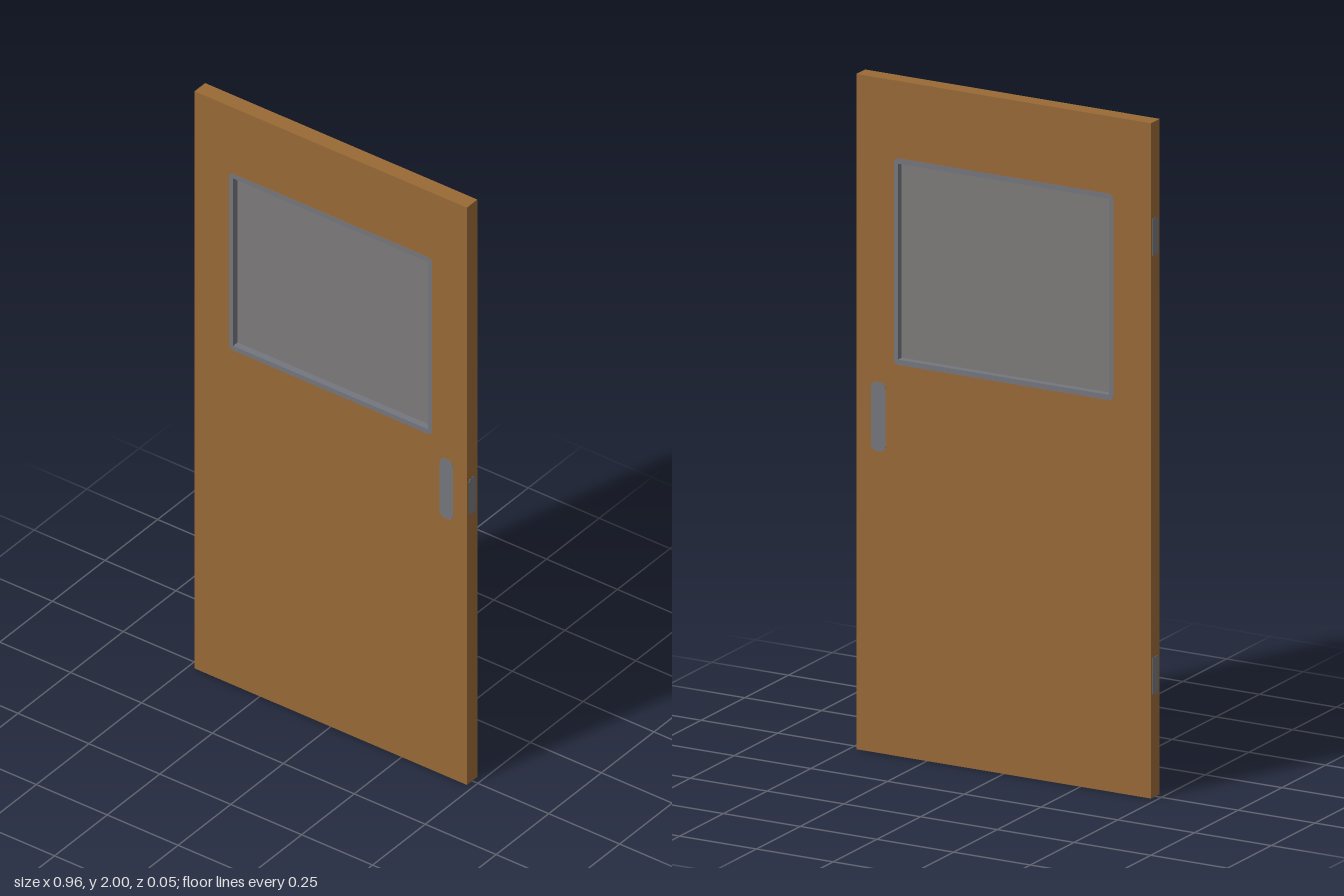
import * as THREE from 'three';

const mat = (name, color) => {
  const m = new THREE.MeshStandardMaterial({ color });
  m.name = name;
  return m;
};

// Rectangle with rounded corners, centred on (cx, cy)
function roundedRect(Type, cx, cy, w, h, r) {
  const p = new Type(), x = w / 2 - r, y = h / 2 - r;
  p.absarc(cx + x, cy + y, r, 0, Math.PI / 2);
  p.absarc(cx - x, cy + y, r, Math.PI / 2, Math.PI);
  p.absarc(cx - x, cy - y, r, Math.PI, Math.PI * 1.5);
  p.absarc(cx + x, cy - y, r, Math.PI * 1.5, Math.PI * 2);
  p.closePath();
  return p;
}

function rect(Type, cx, cy, w, h) {
  const x = w / 2, y = h / 2;
  return new Type([[-x, -y], [x, -y], [x, y], [-x, y]].map(([a, b]) => new THREE.Vector2(cx + a, cy + b)));
}

// Extrusion centred on z = 0
function slab(shape, depth) {
  return new THREE.ExtrudeGeometry(shape, { depth, bevelEnabled: false, curveSegments: 6 })
    .translate(0, 0, -depth / 2);
}

export function createModel() {
  const group = new THREE.Group();
  const wood = mat('brown wood', 0x996936);
  const metal = mat('grey metal', 0x73767d);
  const glass = mat('grey glass', 0x7c7a79);

  const add = (name, geometry, material) => {
    const mesh = new THREE.Mesh(geometry, material);
    mesh.name = name;
    group.add(mesh);
    return mesh;
  };

  const W = 0.96, T = 0.05, winY = 1.465, winW = 0.715, winH = 0.612;

  // Door leaf with window opening
  const leaf = rect(THREE.Shape, 0, 1, W, 2);
  leaf.holes.push(roundedRect(THREE.Path, 0, winY, winW, winH, 0.015));
  add('doorLeaf', slab(leaf, T), wood);

  // Window frame lining the opening, and the recessed pane
  const frame = roundedRect(THREE.Shape, 0, winY, winW, winH, 0.015);
  frame.holes.push(rect(THREE.Path, 0, winY, 0.688, 0.58));
  add('windowFrame', slab(frame, T + 0.001), metal);
  add('windowPane', new THREE.BoxGeometry(0.688, 0.58, 0.008).translate(0, winY, 0), glass);

  // Flush pull plates on both faces
  for (const side of [1, -1]) {
    const plate = add(side > 0 ? 'frontPullPlate' : 'backPullPlate',
      slab(roundedRect(THREE.Shape, 0, 0, 0.046, 0.205, 0.018), 0.004), metal);
    plate.position.set(0.408, 0.996, side * (T / 2 - 0.001));
  }

  // Latch plate on the closing edge
  const latch = add('latchPlate', slab(roundedRect(THREE.Shape, 0, 0, 0.036, 0.125, 0.014), 0.004), metal);
  latch.rotation.y = Math.PI / 2;
  latch.position.set(W / 2 - 0.001, 0.99, 0);

  // Hinge plates on the opposite edge
  for (const y of [0.36, 1.66]) {
    const hinge = add('hingePlate', new THREE.BoxGeometry(0.004, 0.11, 0.03), metal);
    hinge.position.set(-W / 2 + 0.001, y, 0);
  }

  return group;
}
